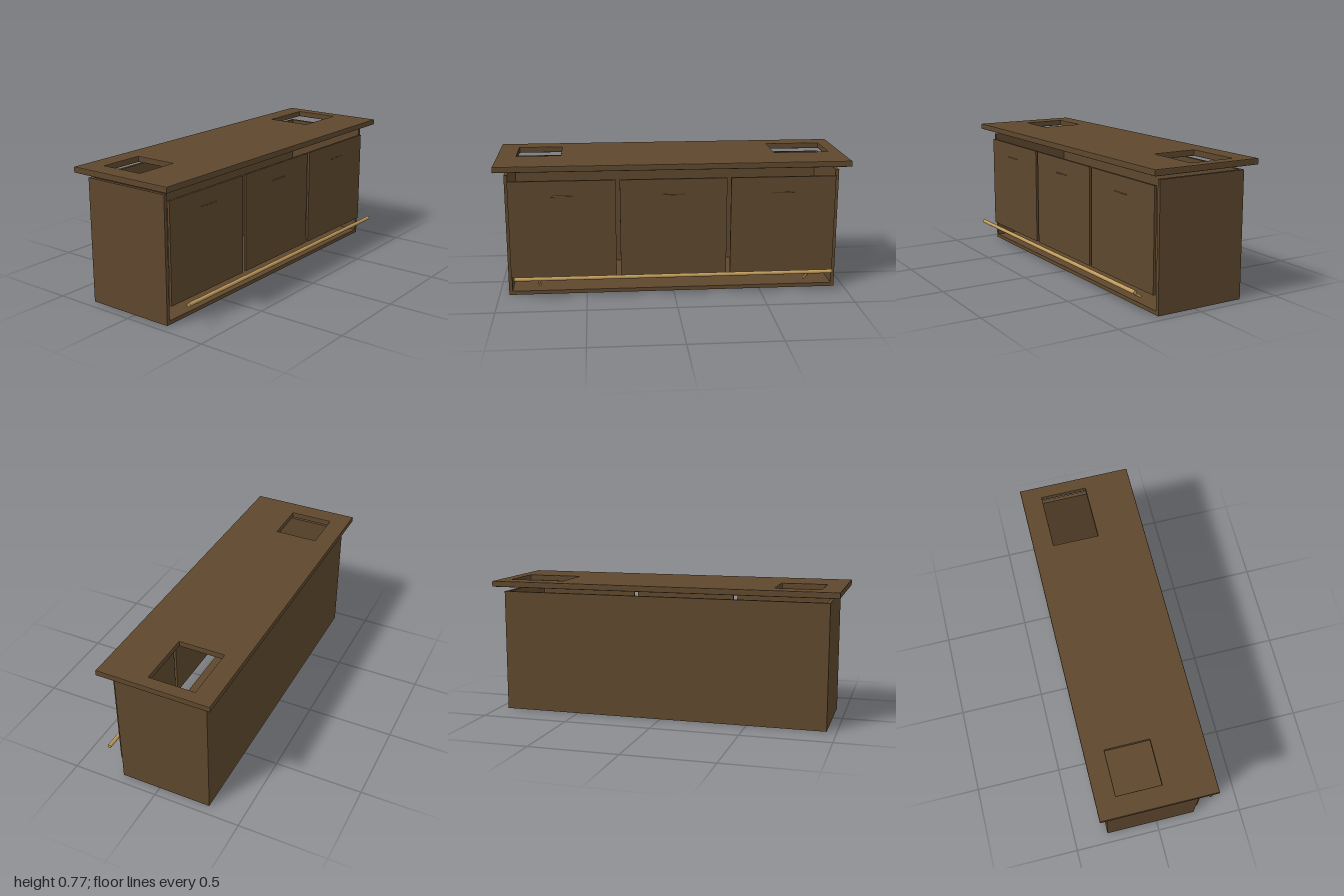
import * as THREE from 'three';

export function createModel() {
  const model = new THREE.Group();
  const wood = new THREE.MeshStandardMaterial({ name: 'dark wood', color: 0x5e472d });
  const brass = new THREE.MeshStandardMaterial({ name: 'brass', color: 0xbf9a5b });

  function add(name, geometry, material, parent = model) {
    const mesh = new THREE.Mesh(geometry, material);
    mesh.name = name;
    parent.add(mesh);
    return mesh;
  }
  // Box given by its limits on each axis
  function board(name, [x0, x1], [y0, y1], [z0, z1], parent) {
    const mesh = add(name, new THREE.BoxGeometry(x1 - x0, y1 - y0, z1 - z0), wood, parent);
    mesh.position.set((x0 + x1) / 2, (y0 + y1) / 2, (z0 + z1) / 2);
    return mesh;
  }
  // Round bar between two points
  function bar(name, from, to, radius, sides = 20) {
    const a = new THREE.Vector3(...from), b = new THREE.Vector3(...to);
    const mesh = add(name, new THREE.CylinderGeometry(radius, radius, a.distanceTo(b), sides), brass);
    mesh.position.copy(a).add(b).multiplyScalar(0.5);
    mesh.quaternion.setFromUnitVectors(new THREE.Vector3(0, 1, 0), b.sub(a).normalize());
    return mesh;
  }

  // Hollow carcass, open at the front and top
  const carcass = new THREE.Group();
  carcass.name = 'carcass';
  model.add(carcass);
  const depth = [-0.302, 0.228];
  board('rightPanel', [-0.945, -0.925], [0, 0.702], depth, carcass);
  board('leftPanel', [0.925, 0.945], [0, 0.702], depth, carcass);
  board('floorPanel', [-0.925, 0.925], [0, 0.022], depth, carcass);
  board('backPanel', [-0.925, 0.925], [0.022, 0.702], [-0.302, -0.284], carcass);

  // Three doors, each with a slim pull
  for (const [x0, x1] of [[-0.928, -0.328], [-0.304, 0.302], [0.325, 0.925]]) {
    board('door', [x0, x1], [0.108, 0.67], [0.233, 0.247]);
    const c = (x0 + x1) / 2;
    bar('doorPull', [c - 0.06, 0.583, 0.254], [c + 0.06, 0.583, 0.254], 0.003, 8);
  }

  // Raised countertop with two rectangular cut-outs (shape y is -z)
  function rectangle(path, x0, x1, z0, z1) {
    path.moveTo(x0, -z1);
    path.lineTo(x1, -z1);
    path.lineTo(x1, -z0);
    path.lineTo(x0, -z0);
    path.closePath();
    return path;
  }
  const top = rectangle(new THREE.Shape(), -1, 1, -0.348, 0.297);
  top.holes.push(rectangle(new THREE.Path(), -0.888, -0.635, -0.236, 0.014));
  top.holes.push(rectangle(new THREE.Path(), 0.608, 0.928, -0.232, 0.03));
  const bevel = 0.005;
  const slab = new THREE.ExtrudeGeometry(top, {
    depth: 0.034 - 2 * bevel, bevelEnabled: true, bevelThickness: bevel,
    bevelSize: bevel, bevelOffset: -bevel, bevelSegments: 2,
  });
  slab.rotateX(-Math.PI / 2);
  add('countertop', slab, wood).position.y = 0.732 + bevel;

  // Foot rail on two sloping brackets
  bar('footRail', [-0.903, 0.131, 0.338], [0.9, 0.131, 0.338], 0.011, 24);
  for (const x of [-0.768, 0.765]) {
    bar('railBracket', [x, 0.052, 0.214], [x, 0.131, 0.338], 0.0075, 16);
  }
  return model;
}
